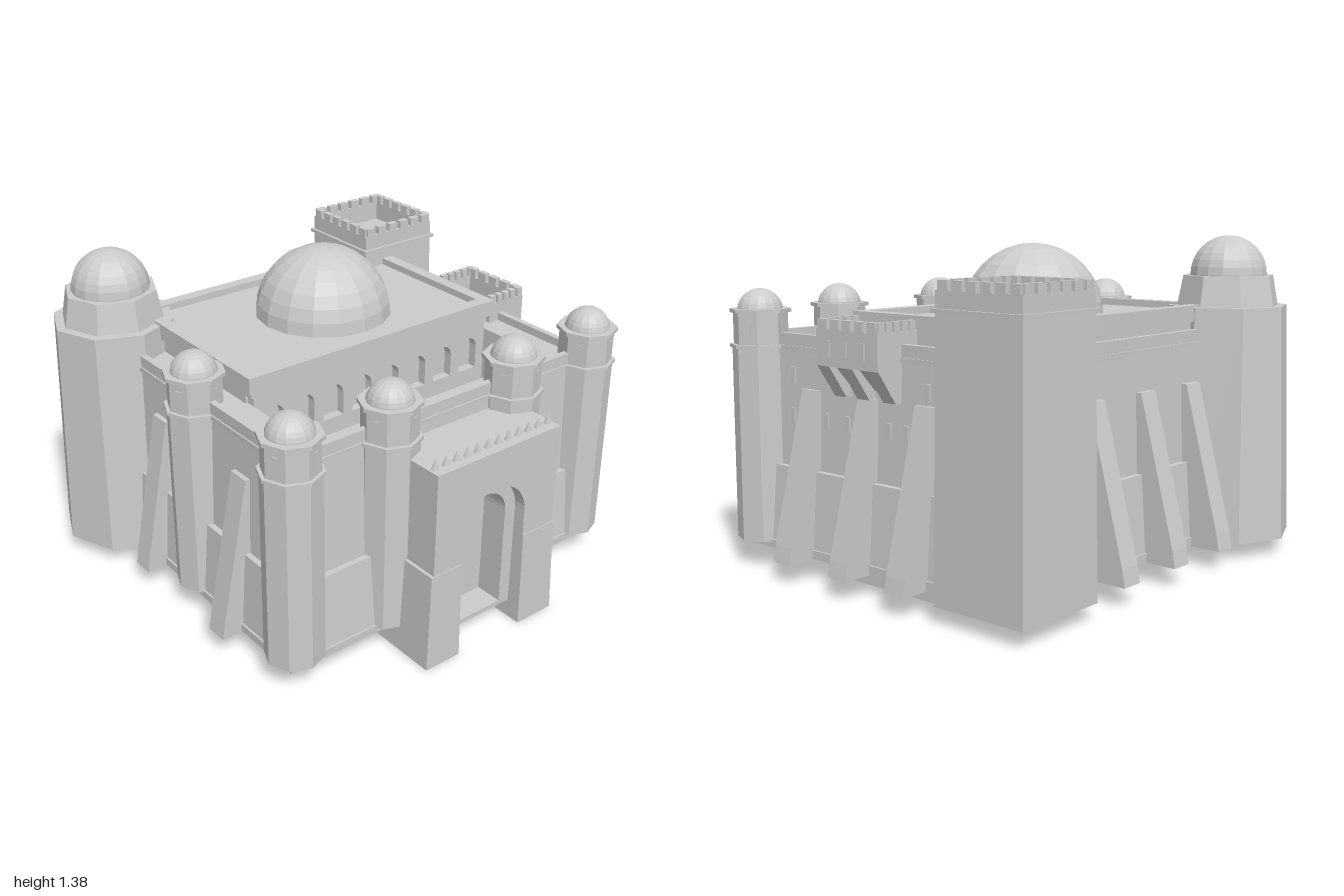
import * as THREE from 'three';

const mat = new THREE.MeshStandardMaterial({ color: 0xcccccc, flatShading: true, side: THREE.DoubleSide });

function add(parent, name, geo, x = 0, y = 0, z = 0) {
  const m = new THREE.Mesh(geo, mat);
  m.name = name;
  m.position.set(x, y, z);
  parent.add(m);
  return m;
}

// Skin a list of rectangular sections [x0, x1, z0, z1, y]
function loft(sections) {
  const loops = sections.map(([x0, x1, z0, z1, y]) =>
    [[x0, y, z1], [x1, y, z1], [x1, y, z0], [x0, y, z0]]);
  const pos = [];
  for (let k = 0; k < loops.length - 1; k++) {
    for (let i = 0; i < 4; i++) {
      const j = (i + 1) % 4;
      const a = loops[k][i], b = loops[k][j], c = loops[k + 1][j], d = loops[k + 1][i];
      pos.push(...a, ...b, ...c, ...a, ...c, ...d);
    }
  }
  const g = new THREE.BufferGeometry();
  g.setAttribute('position', new THREE.Float32BufferAttribute(pos, 3));
  g.computeVertexNormals();
  return g;
}

// Section shrunk to its centre, closing an end
const cap = ([x0, x1, z0, z1, y]) => [(x0 + x1) / 2, (x0 + x1) / 2, (z0 + z1) / 2, (z0 + z1) / 2, y];
const shell = (...s) => loft([...s, cap(s[s.length - 1])]);
const solid = (...s) => shell(cap(s[0]), ...s);

const inset = ([x0, x1, z0, z1], d, y) => [x0 + d, x1 - d, z0 + d, z1 - d, y];

const dome = (r) => new THREE.SphereGeometry(r, 16, 8, 0, Math.PI * 2, 0, Math.PI / 2);

const octagon = (rTop, rBottom, h, open = false) => new THREE.CylinderGeometry(rTop, rBottom, h, 8, 1, open);

// Round-headed opening
function arch(cx, r, y0, spring) {
  const path = new THREE.Path();
  path.moveTo(cx - r, y0);
  path.lineTo(cx + r, y0);
  path.lineTo(cx + r, spring);
  path.absarc(cx, spring, r, 0, Math.PI, false);
  path.lineTo(cx - r, y0);
  return path;
}

const rect = (x0, x1, y0, y1) => new THREE.Shape([
  new THREE.Vector2(x0, y0), new THREE.Vector2(x1, y0), new THREE.Vector2(x1, y1), new THREE.Vector2(x0, y1)]);

const extrude = (shape, depth) =>
  new THREE.ExtrudeGeometry(shape, { depth, bevelEnabled: false, curveSegments: 10 });

// Row of merlons round a rectangular parapet; sides: f, b, l, r
function merlons(parent, [x0, x1, z0, z1], y, h, n, sides) {
  const t = 0.027;
  for (let i = 0; i < n; i++) {
    const f = (i + 0.5) / n;
    const px = x0 + (x1 - x0) * f, pz = z0 + (z1 - z0) * f;
    const wx = (x1 - x0) / n * 0.7, wz = (z1 - z0) / n * 0.7;
    if (sides.includes('f')) add(parent, 'merlon', new THREE.BoxGeometry(wx, h, t), px, y + h / 2, z1 - t / 2);
    if (sides.includes('b')) add(parent, 'merlon', new THREE.BoxGeometry(wx, h, t), px, y + h / 2, z0 + t / 2);
    if (sides.includes('l')) add(parent, 'merlon', new THREE.BoxGeometry(t, h, wz), x0 + t / 2, y + h / 2, pz);
    if (sides.includes('r')) add(parent, 'merlon', new THREE.BoxGeometry(t, h, wz), x1 - t / 2, y + h / 2, pz);
  }
}

// Slender octagonal tower with lantern and dome
function smallTower(x, z) {
  const g = new THREE.Group();
  g.name = 'domedTower';
  g.position.set(x, 0, z);
  add(g, 'shaft', octagon(0.12, 0.122, 0.82, true), 0, 0.52, 0);
  add(g, 'lowerCornice', octagon(0.13, 0.13, 0.014), 0, 0.932, 0);
  add(g, 'lantern', octagon(0.114, 0.114, 0.14), 0, 1.005, 0);
  add(g, 'upperCornice', octagon(0.128, 0.128, 0.016), 0, 1.078, 0);
  add(g, 'dome', dome(0.096), 0, 1.073, 0);
  for (let i = 0; i < 8; i += 2) {
    const a = (i + 0.5) * Math.PI / 4;
    const w = add(g, 'lanternWindow', new THREE.BoxGeometry(0.024, 0.075, 0.008),
      Math.sin(a) * 0.105, 1.0, Math.cos(a) * 0.105);
    w.rotation.y = a;
  }
  return g;
}

// Sloping buttress leaning on a wall; local +z points outward
function buttress(parent, x, z, out, angle) {
  const w = 0.05;
  const m = add(parent, 'buttress', shell([-w, w, -0.06, out, 0.08],
    [-w, w, -0.06, out - 0.012, 0.15], [-w, w, -0.06, 0.02, 0.77]), x, 0, z);
  m.rotation.y = angle;
}

export function createModel() {
  const root = new THREE.Group();
  root.name = 'fortress';

  // Battered curtain wall around the courtyard, open underneath
  const B = [-0.79, 0.88, -0.755, 0.74];
  const inner = y => [-0.57, 0.67, -0.6, 0.57, y];
  add(root, 'curtainWall', loft([inset(B, 0, 0.085), inset(B, 0, 0.12), inset(B, 0.008, 0.12),
    inset(B, 0.03, 0.44), inset(B, 0.055, 0.44), inset(B, 0.07, 0.92), inset(B, 0.062, 0.92),
    inset(B, 0.062, 0.94), inset(B, 0.068, 0.94), inset(B, 0.068, 0.99), inset(B, 0.095, 0.99),
    inset(B, 0.095, 0.955), inner(0.955), inner(0.085)]));

  // Hall on a plinth, with flat roof and raised rim
  const P = [-0.655, 0.785, -0.43, 0.23], H = [-0.58, 0.68, -0.64, 0.17];
  add(root, 'plinth', solid(inset(P, 0, 0), inset(P, 0, 0.12)));
  add(root, 'hall', loft([inset(H, 0, 0.09), inset(H, 0, 1.02)]));
  const R = [-0.6, 0.7, -0.66, 0.23];
  add(root, 'hallRoof', solid(inset(R, 0.02, 0.99), inset(R, 0.02, 1.02), inset(R, 0, 1.02), inset(R, 0, 1.09),
    inset(R, 0.055, 1.09), inset(R, 0.055, 1.06)));
  add(root, 'mainDome', dome(0.297), 0.077, 1.06, -0.195);

  // Arcade facing the courtyard
  const facade = rect(-0.57, 0.67, 0.09, 1.01);
  for (let i = 0; i < 8; i++) facade.holes.push(arch(-0.475 + i * 0.15, 0.05, 0.78, 0.88));
  add(root, 'arcade', extrude(facade, 0.04), 0, 0, 0.17);

  // Gatehouse with stepped arch and two legs
  const gate = new THREE.Group();
  gate.name = 'gatehouse';
  root.add(gate);
  const cx = 0.045;
  add(gate, 'gateCore', solid([-0.265, 0.38, 0.57, 0.78, 0.08], [-0.265, 0.38, 0.57, 0.78, 0.875]));
  const innerLayer = rect(-0.265, 0.38, 0.08, 0.875);
  innerLayer.holes.push(arch(cx, 0.112, 0.1, 0.543));
  add(gate, 'innerArch', extrude(innerLayer, 0.12), 0, 0, 0.78);
  const front = new THREE.Shape();
  front.moveTo(-0.265, 0.08);
  front.lineTo(cx - 0.167, 0.08);
  front.lineTo(cx - 0.167, 0.543);
  front.absarc(cx, 0.543, 0.167, Math.PI, 0, true);
  front.lineTo(cx + 0.167, 0.08);
  front.lineTo(0.38, 0.08);
  front.lineTo(0.38, 0.875);
  front.lineTo(-0.265, 0.875);
  add(gate, 'outerArch', extrude(front, 0.053), 0, 0, 0.9);
  for (const s of [-1, 1]) {
    const leg = (o, z, y) => {
      const a = cx + s * 0.167, b = 0.053 + s * o;
      return [Math.min(a, b), Math.max(a, b), 0.6, z, y];
    };
    add(gate, 'gateLeg', solid(leg(0.348, 0.965, 0), leg(0.332, 0.957, 0.43)));
  }
  const merlonGeo = new THREE.ConeGeometry(0.026, 0.045, 4).rotateY(Math.PI / 4).scale(1, 1, 0.5);
  for (let i = 0; i < 12; i++) add(gate, 'pointedMerlon', merlonGeo, -0.238 + i * 0.054, 0.895, 0.905);

  // Small domed towers
  for (const [x, z] of [[-0.72, 0.665], [0.825, 0.665], [-0.27, 0.68], [0.375, 0.68], [-0.72, 0.02]]) {
    root.add(smallTower(x, z));
  }

  // Great octagonal tower
  const great = new THREE.Group();
  great.name = 'greatTower';
  great.position.set(-0.7, 0, -0.665);
  root.add(great);
  add(great, 'greatShaft', octagon(0.265, 0.3, 1.01, true), 0, 0.575, 0);
  add(great, 'greatShaftTop', new THREE.CircleGeometry(0.265, 8, Math.PI / 2).rotateX(-Math.PI / 2), 0, 1.08, 0);
  add(great, 'greatDrum', octagon(0.2, 0.225, 0.13), 0, 1.145, 0);
  add(great, 'greatDome', dome(0.167), 0, 1.215, 0);
  add(great, 'greatDomeBase', new THREE.CylinderGeometry(0.167, 0.167, 0.02, 16), 0, 1.207, 0);

  // Square tower with hollow parapet, open underneath
  const square = new THREE.Group();
  square.name = 'squareTower';
  root.add(square);
  const S = [0.53, 0.957, -0.89, -0.46];
  add(square, 'squareShaft', shell(inset(S, 0.002, 0.065), inset(S, 0.013, 1.135), inset(S, 0, 1.135),
    inset(S, 0, 1.15), inset(S, 0.013, 1.15), inset(S, 0.013, 1.215), inset(S, 0.04, 1.215), inset(S, 0.04, 1.13)));
  merlons(square, inset(S, 0.013, 0), 1.215, 0.036, 6, 'fblr');

  // Crenellated balcony on three sloping corbels
  const balcony = new THREE.Group();
  balcony.name = 'balcony';
  root.add(balcony);
  const C = [0.73, 0.935, -0.165, 0.18];
  add(balcony, 'balconyBox', solid(inset(C, 0, 0.895), inset(C, 0, 1.04), inset(C, 0.027, 1.04), inset(C, 0.027, 0.96)));
  merlons(balcony, C, 1.04, 0.038, 5, 'fbr');
  add(balcony, 'balconySoffit', solid([0.75, 0.815, -0.16, 0.175, 0.8], [0.75, 0.9, -0.16, 0.175, 0.895]));
  for (const z of [0.147, 0.015, -0.13]) {
    const w = 0.034;
    add(balcony, 'corbel', solid([0.75, 0.845, z - w, z + w, 0.765], [0.75, 0.932, z - w, z + w, 0.895]));
  }
  for (const z of [0.11, 0.015, -0.085]) {
    add(balcony, 'balconyWindow', new THREE.BoxGeometry(0.01, 0.065, 0.018), 0.935, 0.965, z);
  }

  // Wall buttresses: right flank, left flank, rear
  for (const z of [0.35, 0.015, -0.3]) buttress(root, 0.81, z, 0.19, Math.PI / 2);
  for (const z of [0.35, -0.24]) buttress(root, -0.725, z, 0.155, -Math.PI / 2);
  for (const x of [-0.355, -0.025, 0.315]) buttress(root, x, -0.695, 0.195, Math.PI);

  // Slit windows on the right flank
  for (const [y, x, zs] of [[0.82, 0.814, [0.47, 0.26, 0.12, -0.305]],
    [0.65, 0.819, [0.47, 0.26, 0.135, -0.1, -0.195, -0.405]]]) {
    for (const z of zs) add(root, 'slitWindow', new THREE.BoxGeometry(0.014, 0.066, 0.024), x, y, z);
  }

  return root;
}
